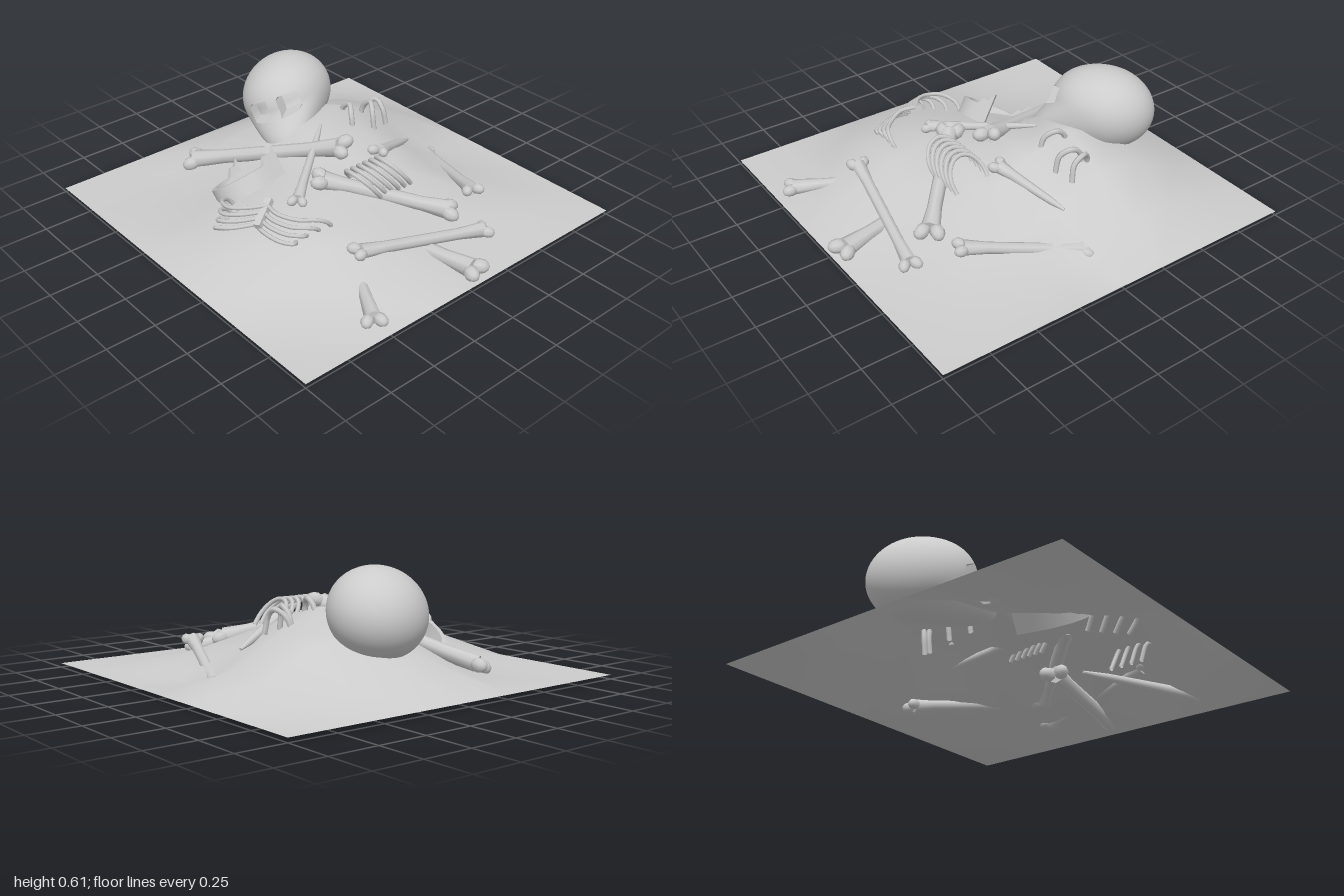
import * as THREE from 'three';
import { mergeVertices, toCreasedNormals } from 'three/addons/utils/BufferGeometryUtils.js';

const mat = new THREE.MeshStandardMaterial({ color: 0xcccccc });
const thin = new THREE.MeshStandardMaterial({ color: 0xcccccc, side: THREE.DoubleSide });
const V = (x, y, z) => new THREE.Vector3(x, y, z);

function add(parent, name, geo, material = mat) {
  const m = new THREE.Mesh(geo, material);
  m.name = name;
  parent.add(m);
  return m;
}

// Moves every vertex of a geometry by a rule, then rebuilds welded, creased normals
function reshape(geo, rule, crease) {
  const p = geo.attributes.position;
  for (let i = 0; i < p.count; i++) {
    const v = V(0, 0, 0).fromBufferAttribute(p, i);
    rule(v);
    p.setXYZ(i, v.x, v.y, v.z);
  }
  geo.deleteAttribute('uv');
  geo.deleteAttribute('normal');
  return toCreasedNormals(mergeVertices(geo, 1e-5), crease);
}

// Sand mound: inner heights in hundredths, rows from back to front
function mound() {
  const rows = [
    [7, 12, 14, 3, 3, 4, 3],
    [12, 24, 28, 17, 12, 10, 4],
    [17, 30, 39, 32, 23, 13, 5],
    [16, 28, 35, 31, 26, 17, 7],
    [8, 12, 20, 26, 26, 22, 12],
    [3, 5, 13, 21, 22, 20, 8],
    [2, 3, 7, 14, 16, 10, 4],
  ];
  const geo = new THREE.PlaneGeometry(2, 2, 8, 8).rotateX(-Math.PI / 2);
  const p = geo.attributes.position;
  for (let i = 0; i < p.count; i++) {
    const h = rows[Math.floor(i / 9) - 1]?.[(i % 9) - 1] ?? 2;
    p.setY(i, h / 100);
  }
  geo.computeVertexNormals();
  return geo;
}

// Skull: rounded cube with a drawn-out muzzle and sunken eye sockets, facing +z
function skull() {
  const geo = new THREE.BoxGeometry(2, 2, 2, 24, 24, 24);
  return reshape(geo, (v) => {
    const u = Math.abs(v.x), h = v.y;
    const socket = v.z > 0.99 && u > 0.2 && u < 0.8 && h < 0.38 && h > -0.2;
    const { x, y, z } = v;
    v.set(
      x * Math.sqrt(1 - y * y / 2 - z * z / 2 + y * y * z * z / 3),
      y * Math.sqrt(1 - x * x / 2 - z * z / 2 + x * x * z * z / 3),
      z * Math.sqrt(1 - x * x / 2 - y * y / 2 + x * x * y * y / 3));
    const face = THREE.MathUtils.smoothstep(v.z, -0.1, 0.75);
    const low = THREE.MathUtils.smoothstep(-v.y, 0, 0.65);
    v.x *= 0.24 * (1 - 0.25 * low * face);
    v.y = v.y * 0.215 - 0.06 * face * low;
    v.z = v.z * 0.265 + 0.13 * face * low + 0.015 * face;
    if (socket) v.z -= 0.07;
  }, 0.6);
}

// Lower jaw: a bar bent into a U with raised, pointed back ends
function jaw() {
  return reshape(new THREE.BoxGeometry(1, 1, 1, 24, 1, 1), (v) => {
    const a = v.x * 4.3, end = Math.abs(v.x) > 0.39;
    const r = 0.155 + v.z * 0.028;
    const tip = end ? 0.04 + (Math.abs(v.x) > 0.49 ? 0.04 : 0) : 0;
    const x = Math.abs(a) > Math.PI / 2 ? Math.sign(a) * r : Math.sin(a) * r;
    v.set(x, v.y * 0.09 + (v.y > 0 ? tip : 0), Math.cos(a) * (r + 0.025));
  }, 0.5);
}

// Bone between two points; taper thins the start into a broken tip
function bone(parent, name, a, b, r, { taper = false, roll = 0 } = {}) {
  const g = new THREE.Group();
  g.name = name;
  const len = a.distanceTo(b), s = taper ? 0.25 : 1.15;
  const profile = [[0, 0], [r * s, 0], [r * (taper ? 0.6 : 0.9), len * 0.2], [r * 0.9, len * 0.8], [r * 1.2, len], [0, len]];
  const shaft = new THREE.LatheGeometry(profile.map(([x, y]) => new THREE.Vector2(x, y)), 8);
  add(g, 'shaft', toCreasedNormals(shaft, 0.9));
  // Twin rounded knuckles on each whole end
  for (const [y, out] of taper ? [[len, 1]] : [[0, -1], [len, 1]]) {
    for (const side of [-1, 1]) {
      const k = add(g, 'knuckle', new THREE.SphereGeometry(r * 0.9, 8, 6));
      k.position.set(side * r * 0.9, y + out * r * 0.4, 0);
      k.scale.set(1, 1.3, 1);
      k.rotation.z = -side * out * 0.5;
    }
  }
  // Knuckles lie side by side across the bone, level with the ground
  const dir = b.clone().sub(a).normalize();
  const across = V(0, 1, 0).cross(dir).normalize();
  const up = across.clone().cross(dir);
  g.quaternion.setFromRotationMatrix(new THREE.Matrix4().makeBasis(across, dir, up));
  g.rotateY(roll);
  g.position.copy(a);
  parent.add(g);
}

function rib(parent, name, points, r = 0.011) {
  add(parent, name, new THREE.TubeGeometry(new THREE.CatmullRomCurve3(points), 18, r, 6), thin);
}

export function createModel() {
  const root = new THREE.Group();
  root.name = 'scatteredBones';
  add(root, 'sandMound', mound(), thin);

  const head = add(root, 'skull', skull());
  head.position.set(-0.555, 0.385, -0.155);
  head.rotation.set(-0.08, 0.66, 0.42, 'YXZ');

  const lowerJaw = add(root, 'lowerJaw', jaw());
  lowerJaw.position.set(-0.22, 0.18, 0.37);
  lowerJaw.rotation.set(0.05, 0.15, 0.6);

  // Limb bones, some partly under the sand
  bone(root, 'thighBone', V(-0.69, 0.1, 0.37), V(0.06, 0.36, 0.0), 0.041, { roll: 0.3 });
  bone(root, 'sideLongBone', V(0.62, 0.19, 0.36), V(0.75, 0.07, -0.33), 0.032);
  bone(root, 'shinBone', V(0.17, 0.3, 0.2), V(0.58, 0.14, -0.25), 0.041);
  bone(root, 'buriedBone', V(0.2, 0.08, 0.1), V(0.94, 0.07, -0.06), 0.041);
  bone(root, 'backLongBone', V(0.0, 0.035, -0.69), V(0.54, 0.15, -0.47), 0.032);
  bone(root, 'backBrokenBone', V(0.0, 0.18, -0.54), V(0.14, 0.3, -0.2), 0.03, { taper: true });
  bone(root, 'middleBrokenBone', V(-0.18, 0.36, -0.08), V(0.18, 0.26, 0.37), 0.027, { taper: true });
  bone(root, 'cornerBone', V(0.3, 0.1, 0.2), V(0.91, 0.07, 0.54), 0.034, { taper: true });

  // Rib hoops lying over the shin bone
  for (let i = 0; i < 6; i++) {
    const z = -0.16 + i * 0.04, pts = [];
    for (let k = 0; k <= 8; k++) {
      const a = Math.PI * (1.12 - k * 0.155);
      pts.push(V(0.29 + 0.1 * Math.cos(a), 0.26 + 0.1 * Math.sin(a), z + 0.08 * Math.sin(a)));
    }
    rib(root, 'hoopRib', pts, 0.012);
  }

  // Front rib cage: breastbone with four ribs a side curling down into the sand
  const breastbone = add(root, 'breastbone', new THREE.BoxGeometry(0.035, 0.03, 0.16));
  breastbone.position.set(0.17, 0.265, 0.57);
  breastbone.rotation.set(0.45, 0.45, 0);
  for (let i = 0; i < 4; i++) {
    const d = i * 0.025;
    rib(root, 'rightRib', [V(0.16, 0.29 - d, 0.54 + d), V(0.1, 0.28 - d, 0.62 + 1.2 * d),
      V(0.02, 0.26 - d, 0.66 + 1.2 * d), V(-0.07 + d, 0.24 - d, 0.64 + 1.2 * d),
      V(-0.12 + 2 * d, 0.2 - d / 2, 0.57 + 1.8 * d), V(-0.1 + 2 * d, 0.1, 0.5 + 1.8 * d)]);
    rib(root, 'leftRib', [V(0.17, 0.29 - d, 0.54 + d), V(0.25, 0.29 - d, 0.55 + d),
      V(0.34, 0.28 - d, 0.5 + 1.4 * d), V(0.4, 0.28 - d, 0.43 + 1.8 * d), V(0.41 - d / 2, 0.23 - d / 2, 0.36 + 2.4 * d),
      V(0.36, 0.1, 0.33 + 2.4 * d)]);
  }

  // Loose curved ribs behind the skull
  for (const [x, y, z, slope] of [[-0.17, 0.3, -0.44, -0.06], [-0.15, 0.31, -0.38, 0.03], [-0.16, 0.34, -0.24, 0.03]]) {
    rib(root, 'looseRib', [V(x - 0.06, y - 0.12, z - slope / 2), V(x - 0.07, y - 0.03, z - slope / 2),
      V(x - 0.05, y + 0.05, z - slope / 3 - 0.01), V(x, y + 0.085, z - 0.02),
      V(x + 0.05, y + 0.05, z + slope / 3), V(x + 0.07, y - 0.04, z + slope / 2)], 0.014);
  }
  return root;
}
